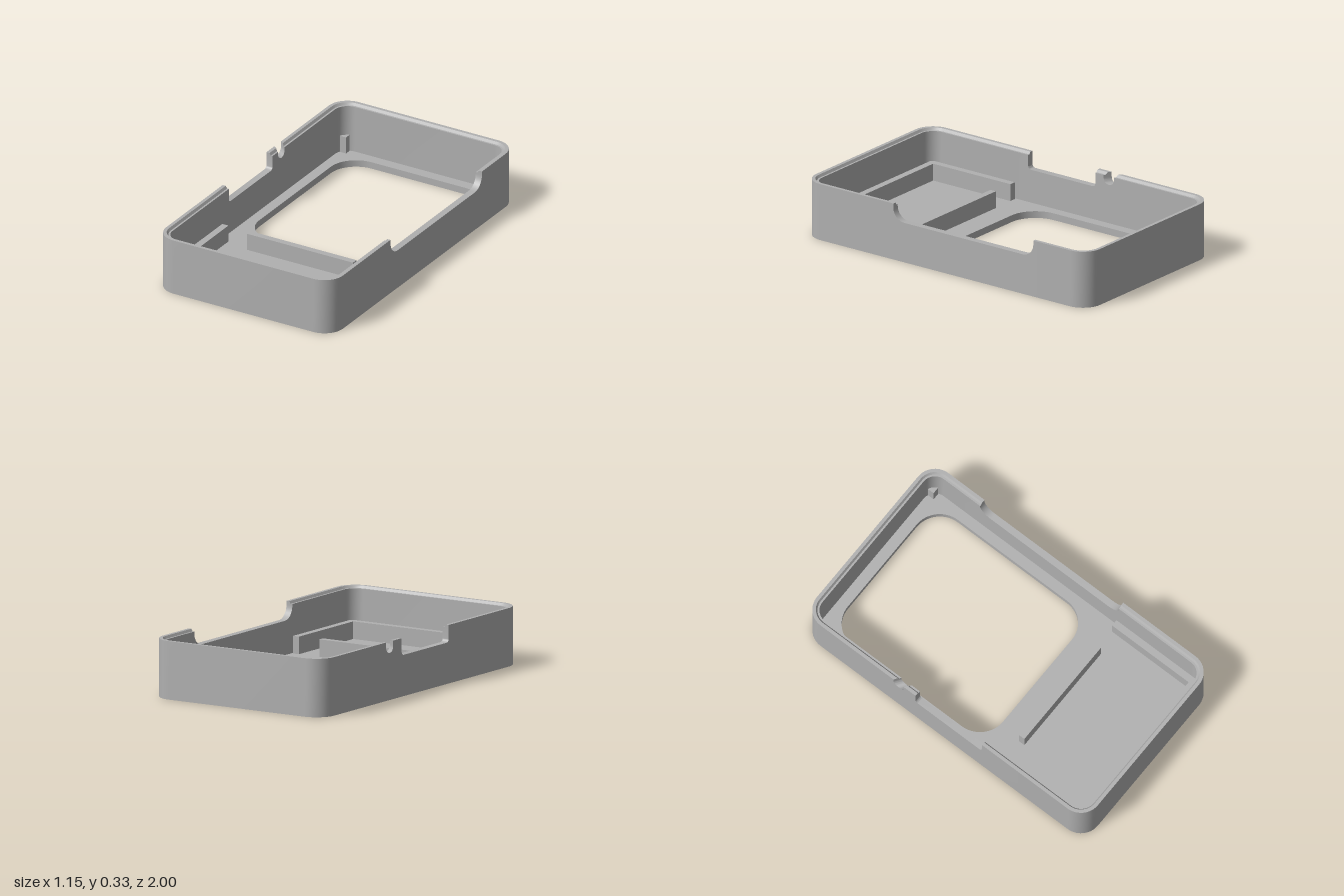
import * as THREE from 'three';
import { toCreasedNormals } from 'three/addons/utils/BufferGeometryUtils.js';

const W = 0.577, L = 1, H = 0.333, R = 0.12;   // half width, half length, height, corner radius
const WALL = 0.04, FLOOR = 0.04, LEDGE = 0.319;

// Rounded rectangle centred on (0, cy)
function roundedRect(Type, hw, hl, r, cy = 0) {
  const s = new Type();
  s.absarc(hw - r, cy + hl - r, r, 0, Math.PI / 2);
  s.absarc(-hw + r, cy + hl - r, r, Math.PI / 2, Math.PI);
  s.absarc(-hw + r, cy - hl + r, r, Math.PI, Math.PI * 1.5);
  s.absarc(hw - r, cy - hl + r, r, Math.PI * 1.5, Math.PI * 2);
  s.closePath();
  return s;
}

// Stations of a round-bottomed cut in a side wall, travelling from z1 to z2
function cut(side, z1, z2, bottom, r, skew = 0) {
  const s = Math.sign(z2 - z1), n = 8, down = [], up = [];
  for (let i = 0; i <= n; i++) {
    const t = (i / n) * Math.PI / 2;
    const dz = s * r * (1 - Math.cos(t)), h = bottom + r - r * Math.sin(t);
    down.push([z1 + dz, h]);
    up.unshift([z2 - dz, h]);
  }
  return [[z1, H], ...down, ...up, [z2, H]]
    .map(([z, h]) => ({ x: side * W, z, nx: side, nz: 0, h, skew }));
}

function corner(sx, sz, start) {
  const out = [], n = 10;
  for (let i = 0; i <= n; i++) {
    const a = start + (i / n) * Math.PI / 2, nx = Math.cos(a), nz = Math.sin(a);
    out.push({ x: sx * (W - R) + R * nx, z: sz * (L - R) + R * nz, nx, nz, h: H, skew: 0 });
  }
  return out;
}

// Stepped wall section swept round the outline, lowered at the cuts
function wallGeometry() {
  const stations = [
    ...corner(1, 1, 0),
    ...corner(-1, 1, Math.PI / 2),
    ...cut(-1, 0.27, -0.203, 0.235, 0.02),
    ...cut(-1, -0.288, -0.36, 0.268, 0.035, 0.026),
    ...corner(-1, -1, Math.PI),
    ...corner(1, -1, Math.PI * 1.5),
    ...cut(1, -0.622, 0.365, 0.235, 0.075),
  ];
  const rings = stations.map(({ x, z, nx, nz, h, skew }) => {
    const low = Math.min(h, LEDGE);
    return [[0, 0], [0, h], [0.02, h], [0.029, low], [WALL, low], [WALL, 0]]
      .map(([d, y]) => new THREE.Vector3(x - nx * d, y, z - nz * d + skew * d / WALL));
  });
  const pos = [], tri = new THREE.Triangle();
  const add = (a, b, c) => {
    tri.set(a, b, c);
    if (tri.getArea() > 1e-9) for (const p of [a, b, c]) pos.push(p.x, p.y, p.z);
  };
  rings.forEach((ring, i) => {
    const next = rings[(i + 1) % rings.length];
    ring.forEach((p, j) => {
      const k = (j + 1) % ring.length;
      add(p, ring[k], next[j]);
      add(ring[k], next[k], next[j]);
    });
  });
  const g = new THREE.BufferGeometry();
  g.setAttribute('position', new THREE.Float32BufferAttribute(pos, 3));
  return toCreasedNormals(g, Math.PI / 7);
}

export function createModel() {
  const group = new THREE.Group();
  group.name = 'enclosureTray';
  const grey = new THREE.MeshStandardMaterial({ color: 0xb0b0b0 });
  grey.name = 'plainGrey';

  const add = (name, geometry) => {
    const m = new THREE.Mesh(geometry, grey);
    m.name = name;
    group.add(m);
    return m;
  };
  // Block standing on the floor, given by its x and z limits
  const block = (name, x0, x1, z0, z1, top = 0.14) => {
    const h = top - FLOOR;
    add(name, new THREE.BoxGeometry(x1 - x0, h, z1 - z0))
      .position.set((x0 + x1) / 2, FLOOR + h / 2, (z0 + z1) / 2);
  };

  // Perimeter wall with inner ledge, cable slot and side cut-outs
  add('perimeterWall', wallGeometry());

  // Floor with the large rounded window
  const floor = roundedRect(THREE.Shape, W - WALL, L - WALL, R - WALL);
  floor.holes.push(roundedRect(THREE.Path, 0.475, 0.5525, 0.165, -0.3425));
  const floorGeo = new THREE.ExtrudeGeometry(floor, { depth: FLOOR, bevelEnabled: false, curveSegments: 12 });
  floorGeo.rotateX(Math.PI / 2).translate(0, FLOOR, 0);
  add('floor', toCreasedNormals(floorGeo, Math.PI / 7));

  // U-shaped rail and cross rib at the front
  block('frontRail', -0.487, 0.487, 0.902, 0.942);
  block('crossRib', -0.347, 0.347, 0.352, 0.39);
  for (const [side, s] of [['left', 1], ['right', -1]]) {
    const x0 = s > 0 ? 0.487 : -0.527;
    block(side + 'Rail', x0, x0 + 0.04, 0.357, 0.942);
    block(side + 'CornerPost', x0, x0 + 0.04, -0.952, -0.914);
  }
  return group;
}
